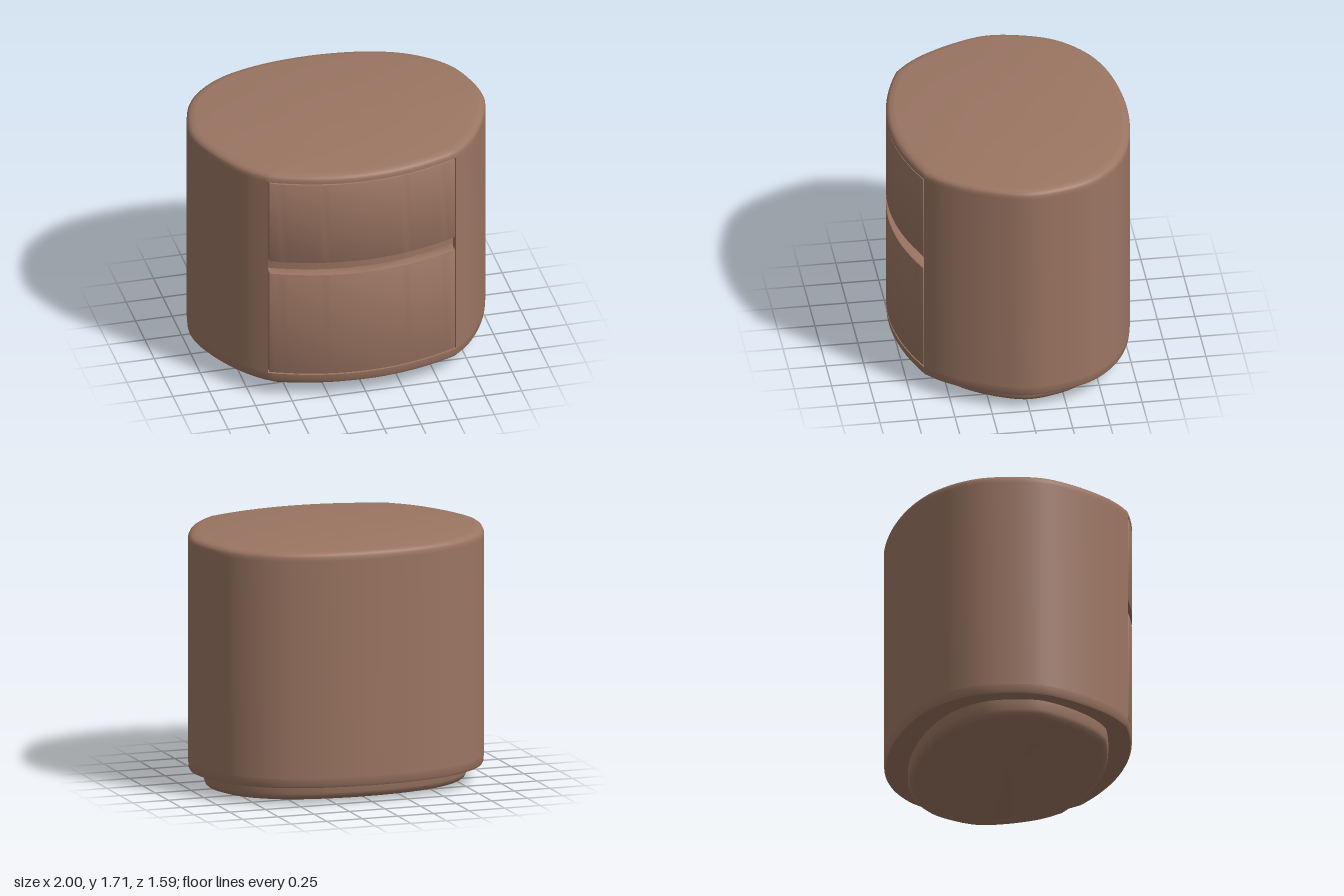
import * as THREE from 'three';
import { toCreasedNormals } from 'three/addons/utils/BufferGeometryUtils.js';

const wood = new THREE.MeshStandardMaterial({ color: 0x9b7562 });
wood.name = 'warm brown';

const OPEN = 0.64;    // half width of the drawer opening
const RECESS = 0.078; // depth of the opening
const frontZ = x => 0.797 - 0.142 * (x / OPEN) ** 2;

// Points [x, z] along the bowed front, from -w to w
function frontArc(w, back = 0, steps = 32) {
  return Array.from({ length: steps + 1 }, (_, i) => {
    const x = -w + (2 * w * i) / steps;
    return [x, frontZ(x) - back];
  });
}

// Points around the sides and back, from front left corner to front right corner
function sideAndBack() {
  const half = [[0.64, 0.655], [0.74, 0.56], [0.83, 0.44], [0.94, 0.22], [1, 0],
    [0.97, -0.23], [0.88, -0.45], [0.68, -0.64], [0.41, -0.75]];
  const all = [...half, [0, -0.797], ...half.map(([x, z]) => [-x, z]).reverse()];
  return new THREE.CatmullRomCurve3(all.map(([x, z]) => new THREE.Vector3(x, 0, z)), false, 'centripetal')
    .getPoints(120).map(p => [p.x, p.z]);
}

const sides = sideAndBack();
const outline = [...frontArc(OPEN).slice(1, -1), ...sides];

// Capped solid from rings [y, inset], listed from bottom to top
function loft(rings, sx = 1, sz = 1) {
  const n = outline.length, pos = [], idx = [];
  for (const [y, inset] of rings)
    for (const [x, z] of outline) pos.push(x * (sx - inset), y, z * (sz - inset / 0.8));
  const last = rings.length - 1, c = n * rings.length;
  pos.push(0, rings[0][0], 0, 0, rings[last][0], 0);
  for (let i = 0; i < n; i++) {
    const j = (i + 1) % n;
    for (let r = 0; r < last; r++) {
      const a = r * n, b = a + n;
      idx.push(a + i, a + j, b + j, a + i, b + j, b + i);
    }
    idx.push(c, j, i, c + 1, last * n + i, last * n + j);
  }
  const g = new THREE.BufferGeometry();
  g.setAttribute('position', new THREE.Float32BufferAttribute(pos, 3));
  g.setIndex(idx);
  return toCreasedNormals(g, 0.6);
}

// Upright prism from a plan outline, with an optional softened edge
function prism(points, y0, y1, bevel = 0) {
  const shape = new THREE.Shape(points.map(([x, z]) => new THREE.Vector2(x, -z)));
  const g = new THREE.ExtrudeGeometry(shape, {
    depth: y1 - y0 - 2 * bevel, bevelEnabled: bevel > 0, bevelSize: bevel,
    bevelThickness: bevel, bevelOffset: -bevel, bevelSegments: 2,
  });
  g.rotateX(-Math.PI / 2).translate(0, y0 + bevel, 0);
  return toCreasedNormals(g, 0.6);
}

export function createModel() {
  const group = new THREE.Group();
  group.name = 'nightstand';
  const add = (name, geometry) => {
    const mesh = new THREE.Mesh(geometry, wood);
    mesh.name = name;
    group.add(mesh);
  };

  // Set-back plinth with a rounded lower edge and a slightly raised underside
  add('plinth', loft([[0.01, 0.11], [0, 0.095], [0, 0.06], [0.008, 0.03],
    [0.025, 0.01], [0.05, 0], [0.13, 0]], 0.895, 0.795));

  // Cabinet: lower rim, recessed middle and softly edged top
  add('lowerRim', loft([[0.118, 0.012], [0.135, 0.003], [0.18, 0]]));
  add('cabinetBody', prism([...frontArc(OPEN, RECESS), ...sides], 0.18, 1.648));
  add('top', loft([[1.648, 0], [1.672, 0], [1.688, 0.007], [1.7, 0.025], [1.706, 0.06]]));

  // Two bowed drawer fronts with a finger gap between them
  const w = OPEN - 0.008;
  const plan = [...frontArc(w), ...frontArc(w, RECESS + 0.01).reverse()];
  add('lowerDrawer', prism(plan, 0.188, 0.948, 0.005));
  add('upperDrawer', prism(plan, 1.04, 1.64, 0.005));

  return group;
}
